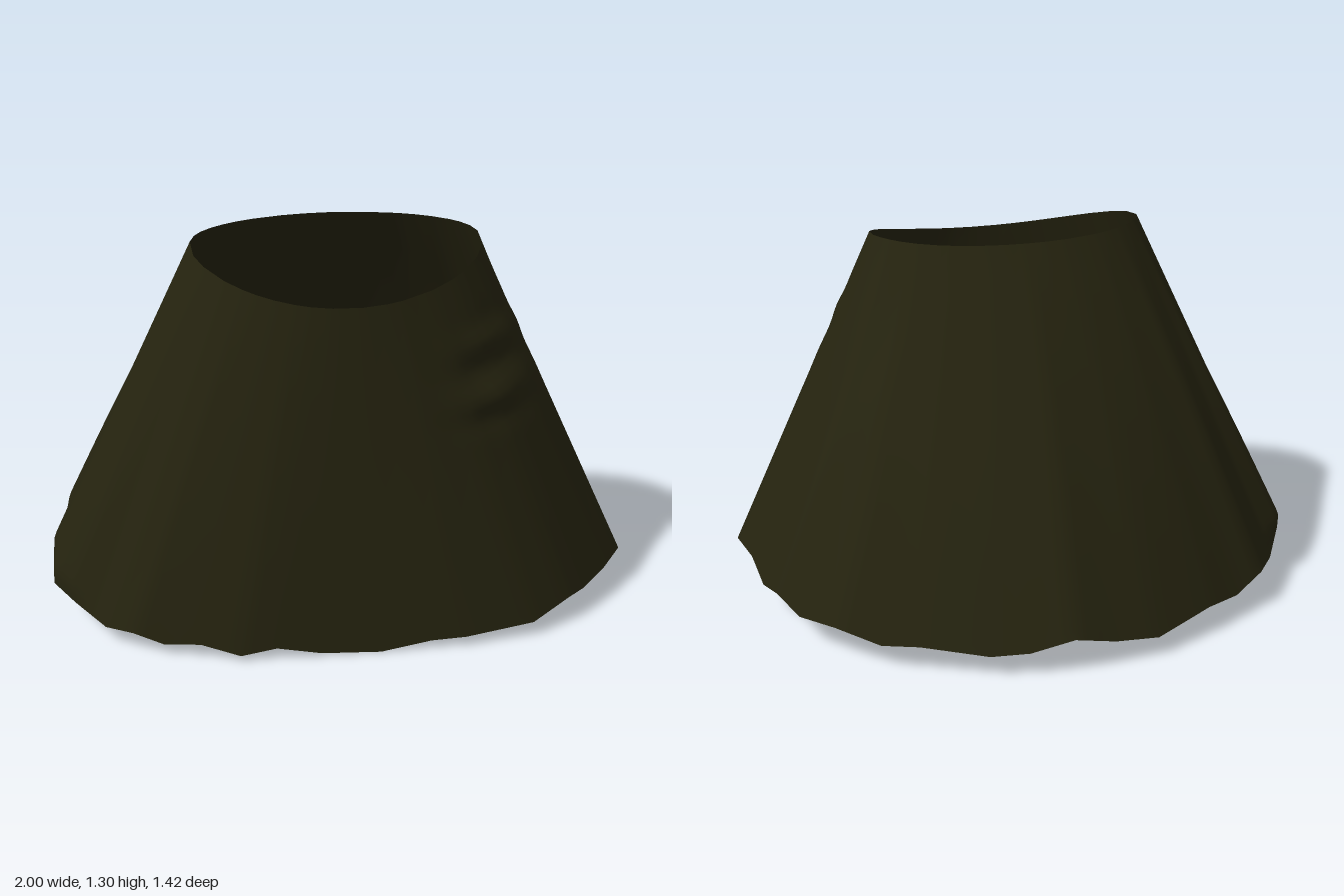
import * as THREE from 'three';

// Ragged hem corners, going round from the back: x, z, y
const HEM = [
  [0, -0.71, 0.13], [0.15, -0.69, 0.09], [0.28, -0.66, 0.08], [0.5, -0.57, 0.1], [0.62, -0.51, 0.09],
  [0.76, -0.42, 0.13], [0.86, -0.28, 0.11], [0.92, -0.17, 0.15], [0.95, -0.02, 0.11], [0.97, 0.13, 0.15],
  [1, 0.33, 0.13], [0.92, 0.43, 0.11], [0.82, 0.53, 0.09], [0.75, 0.59, 0.09], [0.61, 0.67, 0.05],
  [0.37, 0.71, 0.035], [0.25, 0.71, 0.03], [0.08, 0.71, 0], [-0.12, 0.71, 0.01], [-0.27, 0.71, 0.04],
  [-0.39, 0.71, 0.02], [-0.52, 0.67, 0.05], [-0.64, 0.635, 0.04], [-0.74, 0.6, 0.07], [-0.83, 0.53, 0.06],
  [-0.93, 0.42, 0.1], [-1, 0.33, 0.13], [-1, 0.13, 0.15], [-0.97, -0.03, 0.11], [-0.95, -0.17, 0.16],
  [-0.87, -0.3, 0.11], [-0.78, -0.43, 0.13], [-0.66, -0.5, 0.09], [-0.53, -0.57, 0.1], [-0.31, -0.67, 0.07],
  [-0.15, -0.69, 0.09],
];
const SUB = 3, ROWS = 44;

// Corner of the neck opening that lies above a hem corner
function neckPoint([x, z]) {
  const a = Math.atan2((z - 0.24) / (z < 0.24 ? 0.95 : 0.47), x);
  const s = Math.sin(a);
  const nz = 0.24 + s * (s < 0 ? 0.29 : 0.35);
  const ny = 1.305 - 0.52 * Math.max(0, nz - 0.1) ** 2;
  return [-0.01 + 0.485 * Math.cos(a), nz, ny];
}

// Subdivide a closed loop with straight segments
function subdivide(loop) {
  return loop.flatMap((p, i) => {
    const q = loop[(i + 1) % loop.length];
    return Array.from({ length: SUB }, (_, k) => p.map((v, j) => v + (q[j] - v) * k / SUB));
  });
}

function buildGeometry(points, indices) {
  const g = new THREE.BufferGeometry();
  g.setAttribute('position', new THREE.Float32BufferAttribute(points, 3));
  g.setIndex(indices);
  g.computeVertexNormals();
  return g;
}

export function createModel() {
  const group = new THREE.Group();
  const cloth = new THREE.MeshStandardMaterial({ color: 0x25230f, side: THREE.DoubleSide });
  cloth.name = 'dark olive cloth';

  const hem = subdivide(HEM);
  const neck = subdivide(HEM.map(neckPoint));
  const n = hem.length;

  // Flared wall from neck to hem, with two folds at the front left
  const points = [], indices = [];
  for (let r = 0; r <= ROWS; r++) {
    const t = r / ROWS;
    for (let i = 0; i < n; i++) {
      const h = hem[i], k = neck[i];
      const s = h[0] < -0.9 ? Math.min(1, t / 0.95) : t;
      let x = k[0] + (h[0] - k[0]) * s;
      let z = k[1] + (h[1] - k[1]) * s;
      const y = k[2] + (h[2] - k[2]) * t;
      // slight swell down the back
      if (z < 0.2) z -= 0.03 * Math.sin(Math.PI * t) * Math.min(1, (0.2 - z) / 0.3);
      // folds
      if (z > 0.25 && x > 0) {
        const w = Math.exp(-(((x - 0.48) / 0.11) ** 2) - ((y - 0.9) / 0.16) ** 4);
        const d = 0.018 * w * Math.cos(2 * Math.PI * (y - 1.02) / 0.19);
        x += d * 0.6;
        z += d * 0.8;
      }
      points.push(x, y, z);
      if (r < ROWS) {
        const a = r * n + i, b = r * n + (i + 1) % n;
        indices.push(a, b, a + n, b, b + n, a + n);
      }
    }
  }
  const wall = new THREE.Mesh(buildGeometry(points, indices), cloth);
  wall.name = 'flaredWall';
  group.add(wall);

  // Shallow inward fan closing the underside
  const fan = [0, 0.2, 0.03], fanIndices = [];
  hem.forEach(([x, z, y], i) => {
    fan.push(x, y, z);
    fanIndices.push(0, i + 1, (i + 1) % n + 1);
  });
  const floor = new THREE.Mesh(buildGeometry(fan, fanIndices), cloth);
  floor.name = 'underside';
  group.add(floor);

  return group;
}
